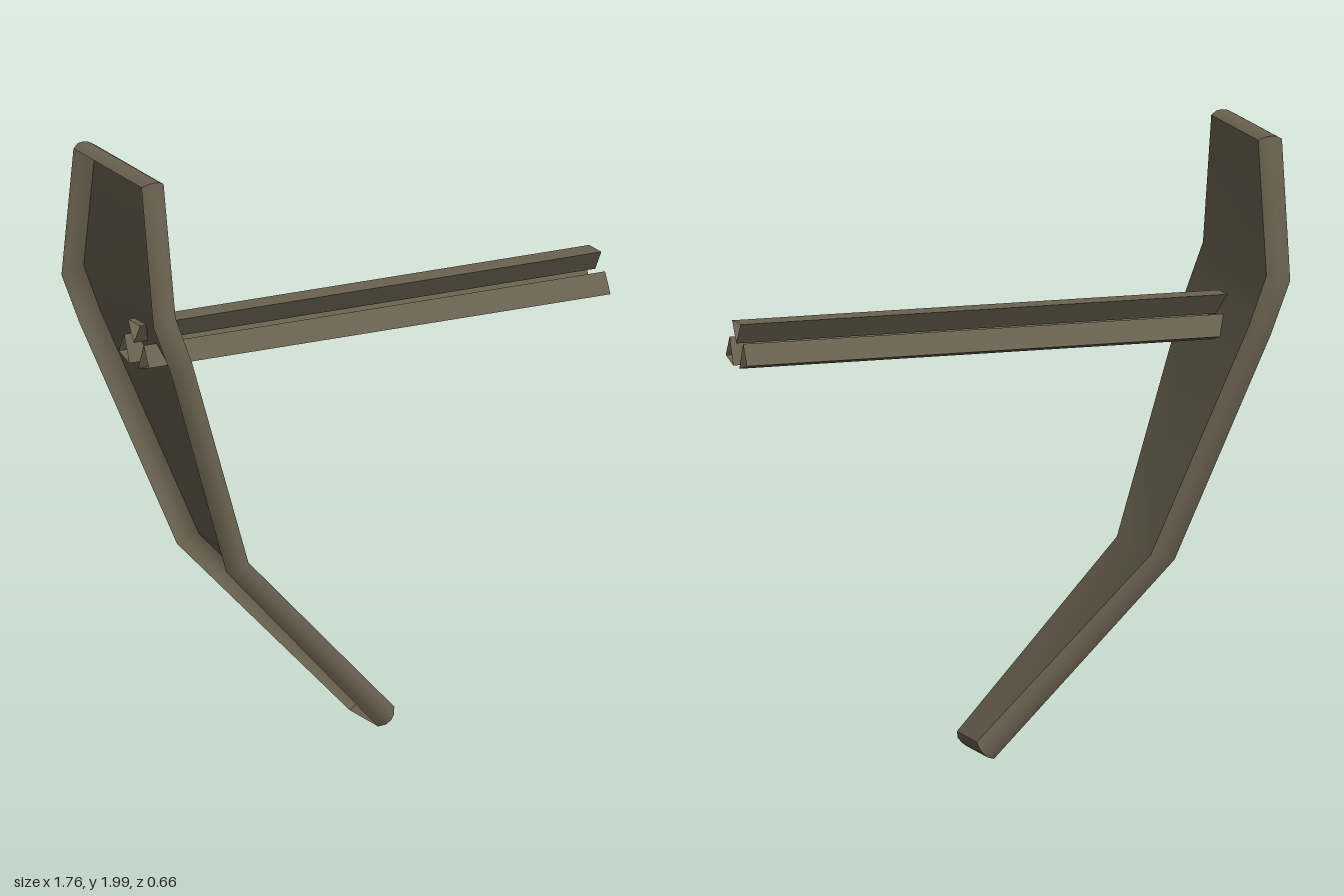
import * as THREE from 'three';
import { toCreasedNormals } from 'three/addons/utils/BufferGeometryUtils.js';

// Surface through rows of points, with soft bends and sharp corners
function surface(rows) {
  const pos = [], index = [], n = rows[0].length;
  rows.forEach((row) => row.forEach((p) => pos.push(p.x, p.y, p.z)));
  for (let i = 0; i < rows.length - 1; i++) {
    for (let j = 0; j < n - 1; j++) {
      const a = i * n + j, b = a + 1, c = a + n, d = c + 1;
      index.push(a, b, c, b, d, c);
    }
  }
  const geo = new THREE.BufferGeometry();
  geo.setAttribute('position', new THREE.Float32BufferAttribute(pos, 3));
  geo.setIndex(index);
  return toCreasedNormals(geo, 0.75);
}

export function createModel() {
  const model = new THREE.Group();
  const bronze = new THREE.MeshStandardMaterial({ color: 0x6b6250, side: THREE.DoubleSide });
  bronze.name = 'dull bronze';
  const add = (name, geo) => {
    const mesh = new THREE.Mesh(geo, bronze);
    mesh.name = name;
    model.add(mesh);
  };

  // Bent panel stations, top to bottom: front x, y, back x, y, half width
  const bulge = 0.014;
  const stations = [
    [-0.80, 1.986, -0.88, 1.986, 0.232],
    [-0.80, 1.56, -0.88, 1.54, 0.314],
    [-0.74, 1.40, -0.815, 1.37, 0.314],
    [-0.46, 0.65, -0.54, 0.63, 0.168],
    [0.103, 0.064, 0.045, 0.006, 0.098],
  ];
  add('panelFace', surface(stations.map(([x, y, , , w]) => [
    new THREE.Vector3(x, y, -w), new THREE.Vector3(x, y, w),
  ])));

  // Rounded rim around the panel, open at the back
  const topOut = new THREE.Vector3(0, 1, 0);
  const bottomOut = new THREE.Vector3(0.7, -0.7, 0);
  const layers = [[0, 0], [0.25, 0.8], [0.5, 1], [0.75, 0.8], [1, 0]];
  const rimRow = (i, side) => {
    const [fx, fy, bx, by, w] = stations[i];
    const front = new THREE.Vector3(fx, fy, side * w);
    const back = new THREE.Vector3(bx, by, side * w);
    const out = new THREE.Vector3(0, 0, side);
    if (i === 0) out.add(topOut);
    if (i === stations.length - 1) out.add(bottomOut);
    return layers.map(([t, k]) => front.clone().lerp(back, t).addScaledVector(out, k * bulge));
  };
  const order = stations.map((_, i) => i);
  const rim = [
    ...order.map((i) => rimRow(i, 1)),
    ...order.slice().reverse().map((i) => rimRow(i, -1)),
    rimRow(0, 1),
  ];
  add('panelRim', surface(rim));

  // Strut of three open-ended triangular tubes; sections as [z, y], clockwise from +x
  const tube = (section) => {
    const ring = (x) => [...section, section[0]].map(([z, y]) => new THREE.Vector3(x, y, z));
    return surface([ring(0.88), ring(-0.785)]);
  };
  const lower = [[0.067, 1.397], [0.104, 1.331], [0.03, 1.31]];
  add('upperStrut', tube([[-0.041, 1.455], [0.041, 1.455], [0, 1.387]]));
  add('frontStrut', tube(lower));
  add('backStrut', tube(lower.map(([z, y]) => [-z, y]).reverse()));

  return model;
}
